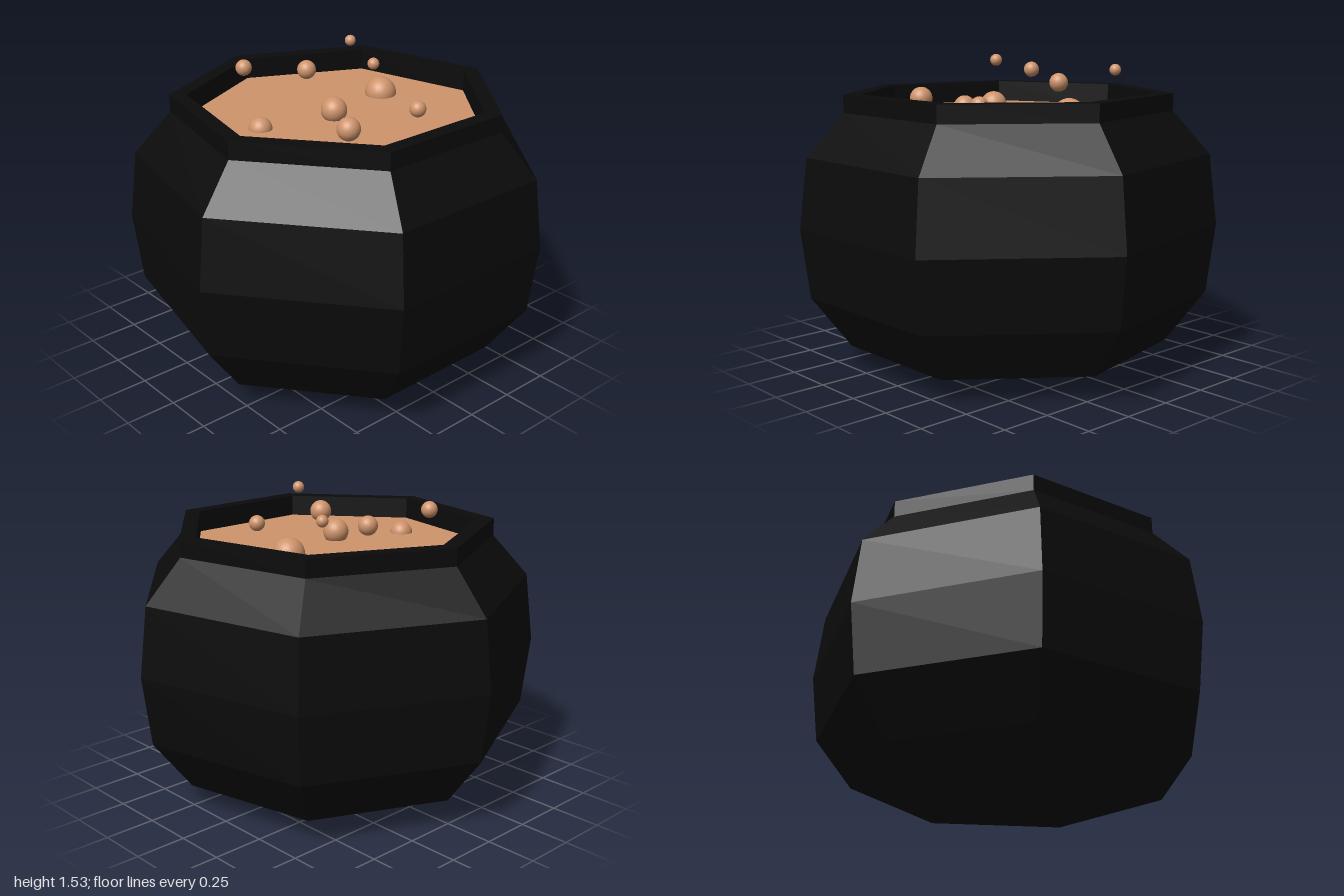
import * as THREE from 'three';

const SIDES = 7;
const CENTER_Z = 0.05; // puts the heptagon's bounds centred on z = 0
const TO_RADIUS = 1 / Math.sin((4 * Math.PI) / SIDES); // half-width -> circumradius
const LIQUID_Y = 1.24;

export function createModel() {
  const group = new THREE.Group();
  group.name = 'cauldron';

  const iron = new THREE.MeshStandardMaterial({ color: 0x0b0b0b, flatShading: true });
  const brew = new THREE.MeshStandardMaterial({ color: 0xcf946c });

  const add = (name, geometry, material, x, y, z) => {
    const mesh = new THREE.Mesh(geometry, material);
    mesh.name = name;
    mesh.position.set(x, y, z);
    group.add(mesh);
  };

  // Pot: seven-sided body, upright rim and inner wall [half-width, height]
  const profile = [
    [0, 0], [0.31, 0], [0.775, 0.12], [0.96, 0.375], [1, 0.715],
    [0.96, 1.055], [0.785, 1.26], [0.785, 1.345], [0.705, 1.345], [0.705, 1.2],
  ].map(([w, y]) => new THREE.Vector2(w * TO_RADIUS, y));
  add('pot', new THREE.LatheGeometry(profile, SIDES, Math.PI), iron, 0, 0, CENTER_Z);

  // Liquid surface filling the opening
  const surface = new THREE.CircleGeometry(0.705 * TO_RADIUS, SIDES, Math.PI / 2);
  surface.rotateX(-Math.PI / 2);
  add('liquid', surface, brew, 0, LIQUID_Y, CENTER_Z);

  // Bubbles breaking the surface and floating above it [x, y, z, radius]
  const bubbles = [
    [0.35, 1.25, -0.025, 0.078],
    [-0.06, 1.28, 0.087, 0.063],
    [-0.415, 1.24, 0.025 - 0.05, 0.056],
    [-0.243, 1.315, 0.395, 0.055],
    [0.19, 1.31, 0.397, 0.04],
    [0.053, 1.376, -0.25, 0.047],
    [-0.257, 1.425, -0.355, 0.04],
    [0.085, 1.505, 0.2, 0.028],
    [0.39, 1.452, -0.3, 0.028],
  ];
  for (const [x, y, z, r] of bubbles) {
    add('bubble', new THREE.SphereGeometry(r, 24, 16), brew, x, y, z);
  }

  return group;
}
